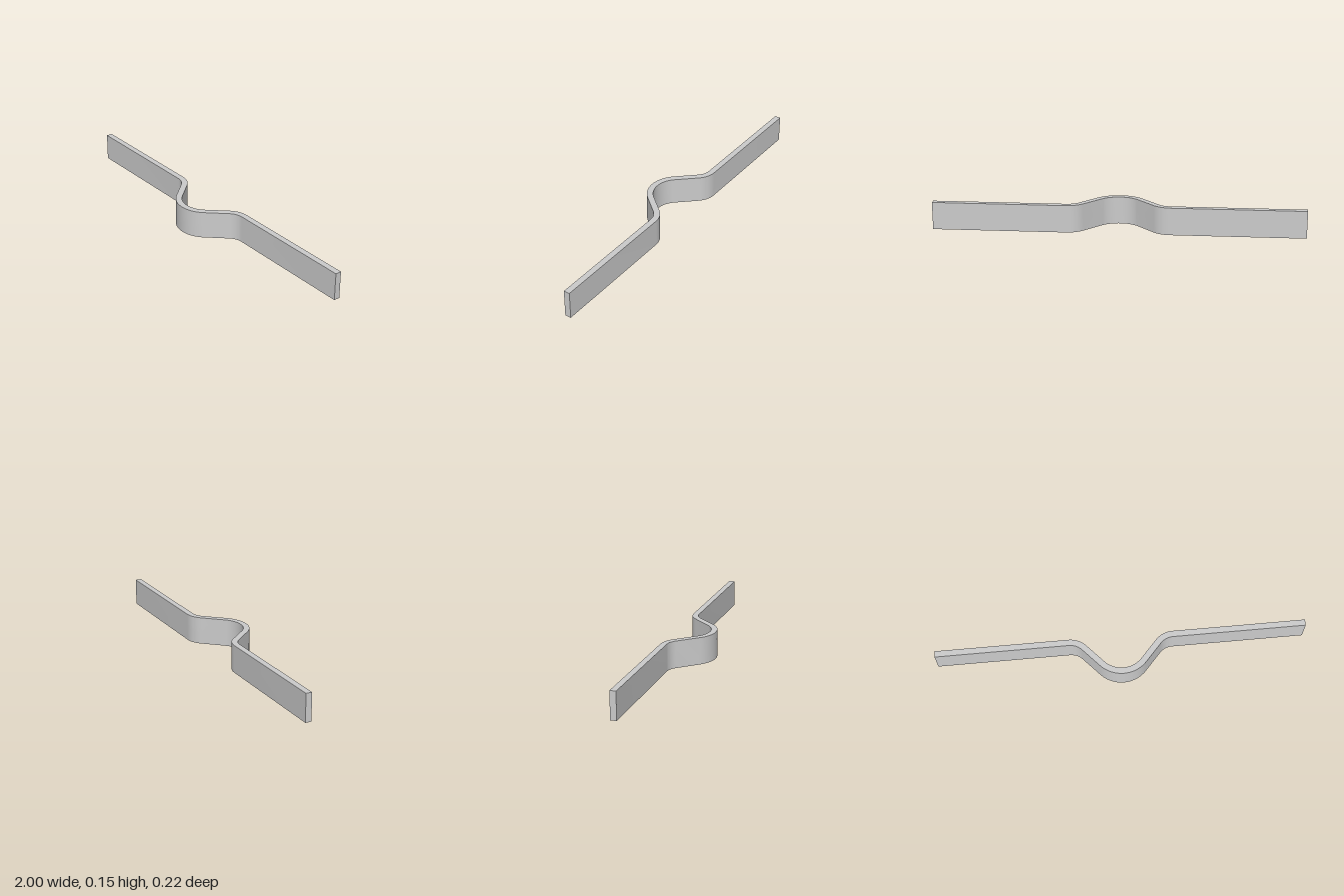
import * as THREE from 'three';
import { toCreasedNormals } from 'three/addons/utils/BufferGeometryUtils.js';

const HEIGHT = 0.15, THICK = 0.033;
const BACK = -0.092, FRONT = 0.092; // centre line of the flat ends and of the bulge
const BEND_X = 0.28, BEND_ANGLE = 0.838; // where the flats end, steepest slope
const OUTER_R = 0.107, INNER_R = 0.15;

// Centre line as [x, z, heading], from the right end to the left end
function centreLine() {
  const n = 10, half = [[-1, BACK, 0]];
  for (let i = 0; i <= n; i++) {
    const a = (BEND_ANGLE * i) / n;
    half.push([-BEND_X + OUTER_R * Math.sin(a), BACK + OUTER_R * (1 - Math.cos(a)), a]);
  }
  for (let i = n; i > 0; i--) {
    const a = (BEND_ANGLE * i) / n;
    half.push([-INNER_R * Math.sin(a), FRONT - INNER_R * (1 - Math.cos(a)), a]);
  }
  const mirrored = half.map(([x, z, a]) => [-x, z, -a]).reverse();
  return [...half, [0, FRONT, 0], ...mirrored];
}

export function createModel() {
  const group = new THREE.Group();
  group.name = 'bentStrap';

  // Offset the centre line to both sides to get the strip's outline
  const line = centreLine();
  const side = (d) => line.map(([x, z, a]) => new THREE.Vector2(x - d * Math.sin(a), z + d * Math.cos(a)));
  const outline = [...side(-THICK / 2), ...side(THICK / 2).reverse()];

  // Extrude upwards: the outline's y becomes z
  const extruded = new THREE.ExtrudeGeometry(new THREE.Shape(outline), { depth: HEIGHT, bevelEnabled: false });
  extruded.rotateX(Math.PI / 2).translate(0, HEIGHT, 0);

  const strip = new THREE.Mesh(
    toCreasedNormals(extruded, 0.6),
    new THREE.MeshStandardMaterial({ color: 0xcccccc })
  );
  strip.name = 'strip';
  group.add(strip);
  return group;
}
